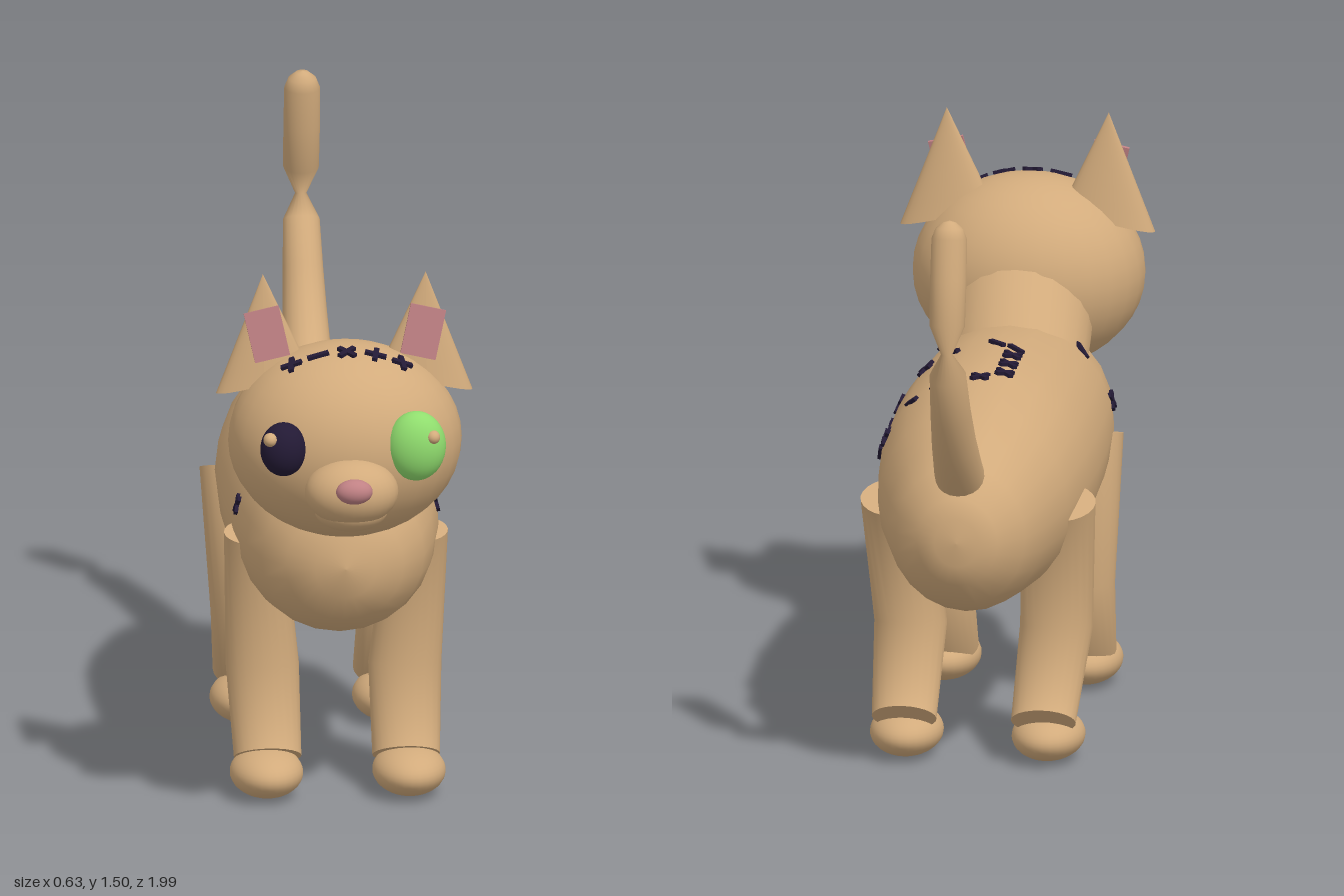
import * as THREE from 'three';

const mat = (name, color) => {
  const m = new THREE.MeshStandardMaterial({ color });
  m.name = name;
  return m;
};

// Capped tube from rows [z, y, radius in the yz plane, radius in x, centre x]
function loft(rows, sides = 24) {
  const rings = rows.map(([z, y, r, rx, cx = 0], i) => {
    const a = rows[Math.max(i - 1, 0)], b = rows[Math.min(i + 1, rows.length - 1)];
    const len = Math.hypot(b[0] - a[0], b[1] - a[1]);
    const tz = (b[0] - a[0]) / len, ty = (b[1] - a[1]) / len;
    return Array.from({ length: sides }, (_, j) => {
      const t = (j / sides) * Math.PI * 2, s = Math.sin(t) * r;
      return [cx + Math.cos(t) * rx, y + tz * s, z - ty * s];
    });
  });
  const centre = ([z, y, , , cx = 0]) => Array(sides).fill([cx, y, z]);
  const all = [centre(rows[0]), rings[0], ...rings, rings.at(-1), centre(rows.at(-1))];
  const index = [];
  for (let i = 0; i < all.length - 1; i++) {
    for (let j = 0; j < sides; j++) {
      const k = (j + 1) % sides;
      const a = i * sides + j, b = i * sides + k, c = a + sides, d = b + sides;
      index.push(a, b, c, b, d, c);
    }
  }
  const g = new THREE.BufferGeometry();
  g.setAttribute('position', new THREE.Float32BufferAttribute(all.flat(2), 3));
  g.setIndex(index);
  g.computeVertexNormals();
  return g;
}

// Body sections: z, centre y, half height, half width
const BODY = [
  [0.665, 0.65, 0, 0], [0.655, 0.65, 0.075, 0.075], [0.62, 0.65, 0.14, 0.145],
  [0.55, 0.655, 0.195, 0.2], [0.45, 0.665, 0.23, 0.23], [0.3, 0.668, 0.255, 0.252],
  [0.1, 0.668, 0.275, 0.262], [-0.1, 0.67, 0.28, 0.265], [-0.25, 0.67, 0.275, 0.26],
  [-0.45, 0.66, 0.25, 0.235], [-0.6, 0.65, 0.22, 0.195], [-0.7, 0.65, 0.18, 0.16],
  [-0.76, 0.65, 0.11, 0.1], [-0.775, 0.65, 0.06, 0.055], [-0.78, 0.65, 0, 0],
];

function bodyAt(z) {
  const i = BODY.findIndex((r) => r[0] <= z);
  const a = BODY[i - 1], b = BODY[i], t = (z - a[0]) / (b[0] - a[0]);
  return a.map((v, k) => v + (b[k] - v) * t);
}

export function createModel() {
  const model = new THREE.Group();
  const tan = mat('tan fur', 0xd2ab7c);
  const pink = mat('pink', 0xc08184);
  const green = mat('green', 0x90dd6e);
  const dark = mat('dark thread', 0x231a35);

  const add = (name, geometry, material, pos = [0, 0, 0], parent = model) => {
    const m = new THREE.Mesh(geometry, material);
    m.name = name;
    m.position.set(...pos);
    parent.add(m);
    return m;
  };
  const ball = (name, material, pos, r) =>
    add(name, new THREE.SphereGeometry(1, 28, 20).scale(...r), material, pos);

  add('body', loft(BODY), tan);
  add('neck', loft([[0.37, 0.8, 0.165, 0.175], [0.55, 0.96, 0.17, 0.18]]), tan);

  // Head and face
  const HEAD = [0, 0.974, 0.625], HEAD_R = [0.287, 0.242, 0.252];
  ball('head', tan, HEAD, HEAD_R);
  ball('muzzle', tan, [0, 0.9, 0.865], [0.115, 0.083, 0.095]);
  ball('chin', tan, [0, 0.848, 0.845], [0.09, 0.05, 0.085]);
  ball('nose', pink, [0, 0.925, 0.965], [0.045, 0.031, 0.032]);
  ball('leftEye', green, [0.161, 1.005, 0.833], [0.073, 0.087, 0.056]);
  ball('rightEye', dark, [-0.165, 1.002, 0.833], [0.057, 0.067, 0.054]);
  ball('leftEyeBead', tan, [0.2, 1.035, 0.868], [0.017, 0.017, 0.02]);
  ball('rightEyeBead', tan, [-0.2, 1.035, 0.868], [0.017, 0.017, 0.02]);

  // Tail, pinched where it kinks
  add('tail', loft([
    [-0.64, 0.75, 0.064, 0.062], [-0.74, 0.83, 0.06, 0.06], [-0.82, 0.915, 0.057, 0.055],
    [-0.885, 1.01, 0.052, 0.05], [-0.94, 1.12, 0.046, 0.045], [-0.962, 1.18, 0.011, 0.014],
    [-0.953, 1.25, 0.045, 0.044], [-0.93, 1.36, 0.043, 0.045], [-0.912, 1.46, 0.041, 0.044],
    [-0.908, 1.485, 0.032, 0.034], [-0.905, 1.5, 0.015, 0.016], [-0.904, 1.504, 0, 0],
  ], 20), tan);

  for (const s of [1, -1]) {
    const side = s > 0 ? 'left' : 'right';

    // Flattened cone ear with a sloping base and a pink lining
    const cone = new THREE.ConeGeometry(0.115, 0.27, 24, 6).scale(1, 1, 0.4);
    const p = cone.attributes.position;
    for (let i = 0; i < p.count; i++) p.setY(i, p.getY(i) - s * p.getX(i) * 0.25);
    cone.computeVertexNormals();
    add(side + 'Ear', cone, tan, [s * 0.2, 1.25, 0.6]);
    const lining = add(side + 'EarLining', new THREE.BoxGeometry(0.088, 0.125, 0.009), pink,
      [s * 0.192, 1.24, 0.628]);
    lining.rotation.set(-0.15, 0, -s * 0.22);

    // Legs and paws
    add(side + 'FrontLeg', loft([
      [0.303, 0.655, 0.067, 0.075, s * 0.2], [0.215, 0.3, 0.068, 0.09, s * 0.175],
      [0.335, 0.095, 0.068, 0.083, s * 0.17],
    ]), tan);
    add(side + 'HindLeg', loft([
      [-0.357, 0.65, 0.088, 0.09, s * 0.2], [-0.25, 0.31, 0.074, 0.09, s * 0.18],
      [-0.44, 0.115, 0.056, 0.08, s * 0.172],
    ]), tan);
    ball(side + 'FrontPaw', tan, [s * 0.175, 0.064, 0.365], [0.09, 0.06, 0.129]);
    ball(side + 'HindPaw', tan, [s * 0.175, 0.064, -0.363], [0.09, 0.06, 0.129]);
  }

  // Stitches: one bar, or two crossed bars, lying on the surface
  const bar = new THREE.BoxGeometry(0.054, 0.013, 0.009);
  const stitch = (pos, normal, crossed) => {
    const g = new THREE.Group();
    g.name = 'stitch';
    normal.normalize();
    g.position.copy(pos).addScaledVector(normal, 0.003);
    g.lookAt(g.position.clone().add(normal));
    for (const turn of crossed ? [1, -1] : [1]) {
      add('thread', bar, dark, [0, 0, 0], g).rotation.z = turn * Math.PI / 4;
    }
    model.add(g);
  };
  const bodyStitch = (z, angle, crossed, s = 1) => {
    const [, cy, ry, rx] = bodyAt(z);
    const c = Math.cos(angle), n = Math.sin(angle);
    stitch(new THREE.Vector3(s * rx * c, cy + ry * n, z),
      new THREE.Vector3(s * c / rx, n / ry, 0), crossed);
  };
  const onSide = (z, y, crossed, s) => {
    const [, cy, ry] = bodyAt(z);
    bodyStitch(z, Math.asin((y - cy) / ry), crossed, s);
  };
  const onBack = (x, z, crossed) => bodyStitch(z, Math.acos(x / bodyAt(z)[3]), crossed);

  // Patch over the back and left flank
  [[0.02, 0.875, 1], [0.02, 0.783, 1], [-0.015, 0.73, 1], [-0.085, 0.73, 0],
    [-0.16, 0.73, 1], [-0.235, 0.73, 0], [-0.275, 0.78, 1], [-0.275, 0.87, 0],
  ].forEach(([z, y, c]) => onSide(z, y, c, 1));
  [[0.005, -0.28, 1], [0.105, -0.28, 1], [0, 0.015, 0], [0.11, 0.015, 0],
    [-0.05, -0.24, 1], [-0.05, -0.165, 1], [-0.05, -0.09, 1], [-0.05, -0.02, 0],
  ].forEach(([x, z, c]) => onBack(x, z, c));

  // Shoulder stitches
  for (const s of [1, -1]) {
    onSide(0.32, 0.853, 0, s);
    onSide(0.32, 0.73, 1, s);
  }

  // Row across the top of the head
  [[-0.135, 1], [-0.07, 0], [0, 1], [0.07, 1], [0.135, 1]].forEach(([x, c]) => {
    const z = 0.695 - HEAD[2], [a, b, d] = HEAD_R;
    const y = b * Math.sqrt(1 - (x / a) ** 2 - (z / d) ** 2);
    stitch(new THREE.Vector3(x, HEAD[1] + y, 0.695),
      new THREE.Vector3(x / a ** 2, y / b ** 2, z / d ** 2), c);
  });

  return model;
}
